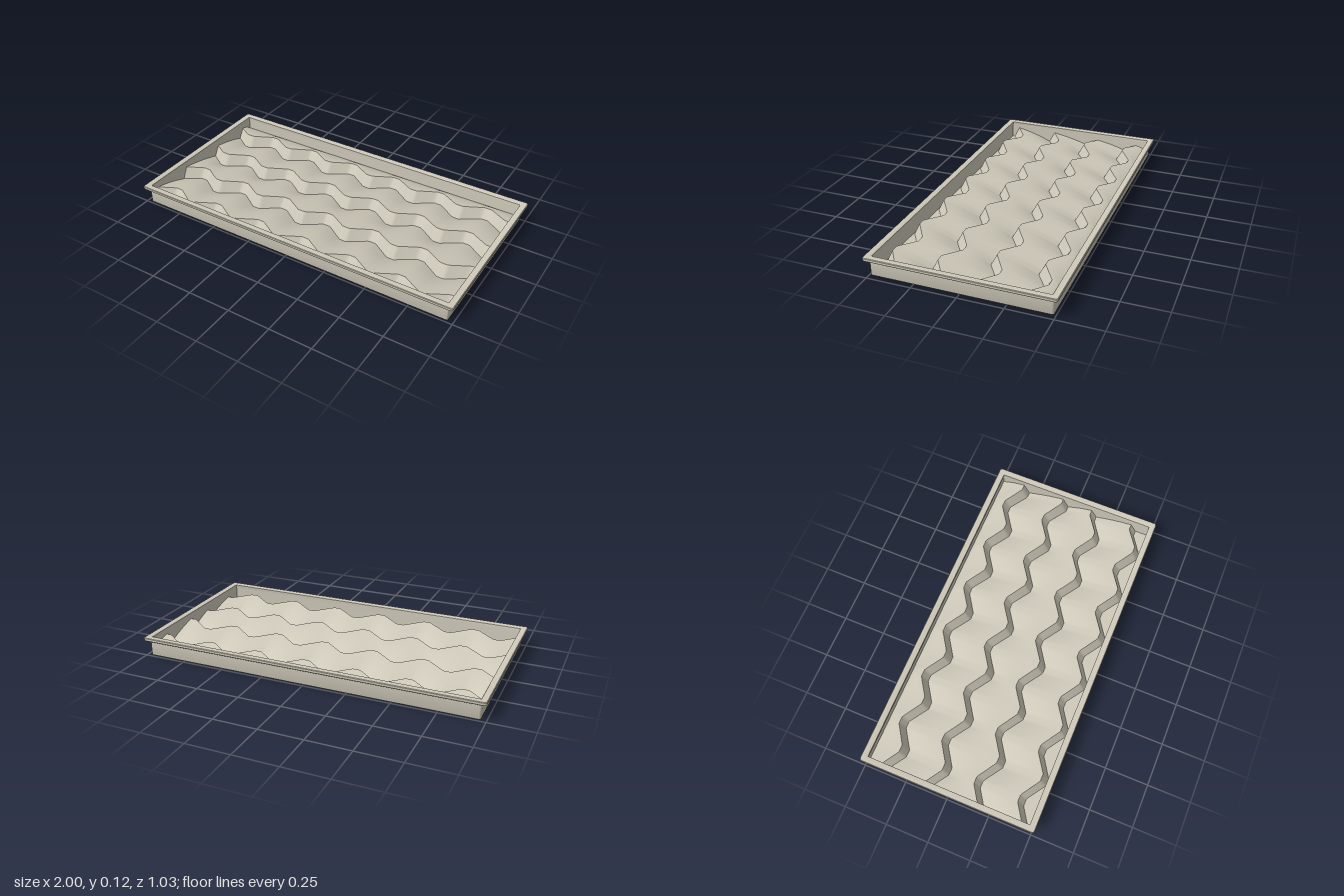
import * as THREE from 'three';
import { toCreasedNormals } from 'three/addons/utils/BufferGeometryUtils.js';

const shell = new THREE.MeshStandardMaterial({ color: 0xcfcaba, side: THREE.DoubleSide });
shell.name = 'warm grey plastic';

// Sweeps a closed profile of [inset, y] points around a rounded rectangle
function frame(halfX, halfZ, radius, profile) {
  const pos = [], index = [], steps = 4, n = 4 * (steps + 1), m = profile.length;
  for (const [inset, y] of profile) {
    const r = Math.max(radius - inset, 0.002);
    for (let c = 0; c < 4; c++) {
      const sx = c === 0 || c === 3 ? 1 : -1, sz = c < 2 ? 1 : -1;
      for (let s = 0; s <= steps; s++) {
        const a = (c + s / steps) * Math.PI / 2;
        pos.push(sx * (halfX - inset - r) + r * Math.cos(a), y, sz * (halfZ - inset - r) + r * Math.sin(a));
      }
    }
  }
  for (let i = 0; i < m; i++) for (let j = 0; j < n; j++) {
    const i2 = (i + 1) % m, j2 = (j + 1) % n;
    const a = i * n + j, b = i2 * n + j, c = i2 * n + j2, d = i * n + j2;
    index.push(a, b, d, b, c, d);
  }
  const g = new THREE.BufferGeometry();
  g.setAttribute('position', new THREE.Float32BufferAttribute(pos, 3));
  g.setIndex(index);
  return toCreasedNormals(g, 0.7);
}

// Trapezoid wave between -1 and 1, peaking at x = 0
function wave(x) {
  const t = x / 0.3 - Math.floor(x / 0.3);
  return THREE.MathUtils.clamp(1.4 * (Math.abs(t - 0.5) * 4 - 1), -1, 1);
}

// Wavy sheet: each course climbs toward the front, then drops at a scalloped step
function tileSheet() {
  const HX = 0.963, HZ = 0.484, cols = 192, ramp = 8;
  const lines = [-0.36, -0.097, 0.165, 0.425];
  const pos = [], index = [];
  let rows = 0;
  for (let i = 0; i <= cols; i++) {
    const x = -HX + 2 * HX * i / cols;
    const column = [];
    let z0 = -HZ, y0 = 0.03;
    lines.forEach((line, k) => {
      const w = wave(x + (k < 2 ? 0.25 : 0.1));
      const mid = line + 0.036 * w;
      const top = 0.07 + 0.006 * w;
      for (let s = 0; s <= ramp; s++) {
        const t = s / ramp;
        const bulge = 0.006 * Math.sin(Math.PI * t);
        column.push([THREE.MathUtils.lerp(z0, mid - 0.018, t), THREE.MathUtils.lerp(y0, top, t) + bulge]);
      }
      z0 = Math.min(mid + 0.018, HZ - 0.003);
      y0 = 0.006;
    });
    column.push([z0, y0], [HZ, 0.008]);
    rows = column.length;
    for (const [z, y] of column) pos.push(x, y, z);
  }
  for (let i = 0; i < cols; i++) for (let j = 0; j < rows - 1; j++) {
    const a = i * rows + j, b = a + rows;
    index.push(a, a + 1, b, b, a + 1, b + 1);
  }
  const g = new THREE.BufferGeometry();
  g.setAttribute('position', new THREE.Float32BufferAttribute(pos, 3));
  g.setIndex(index);
  return toCreasedNormals(g, 0.6);
}

export function createModel() {
  const group = new THREE.Group();
  const add = (name, geometry) => {
    const mesh = new THREE.Mesh(geometry, shell);
    mesh.name = name;
    group.add(mesh);
  };
  // Thin side walls, turned in at the foot
  add('trayWalls', frame(0.972, 0.492, 0.012, [
    [0.009, 0], [0.003, 0.003], [0, 0.01], [0, 0.1], [0.009, 0.1], [0.009, 0.008],
  ]));
  // Flat flange with softened outer edges
  add('rim', frame(1, 0.517, 0.014, [
    [0.006, 0.094], [0.001, 0.098], [0, 0.102], [0, 0.112], [0.003, 0.115],
    [0.034, 0.115], [0.037, 0.112], [0.037, 0.094],
  ]));
  add('tiledFloor', tileSheet());
  return group;
}
